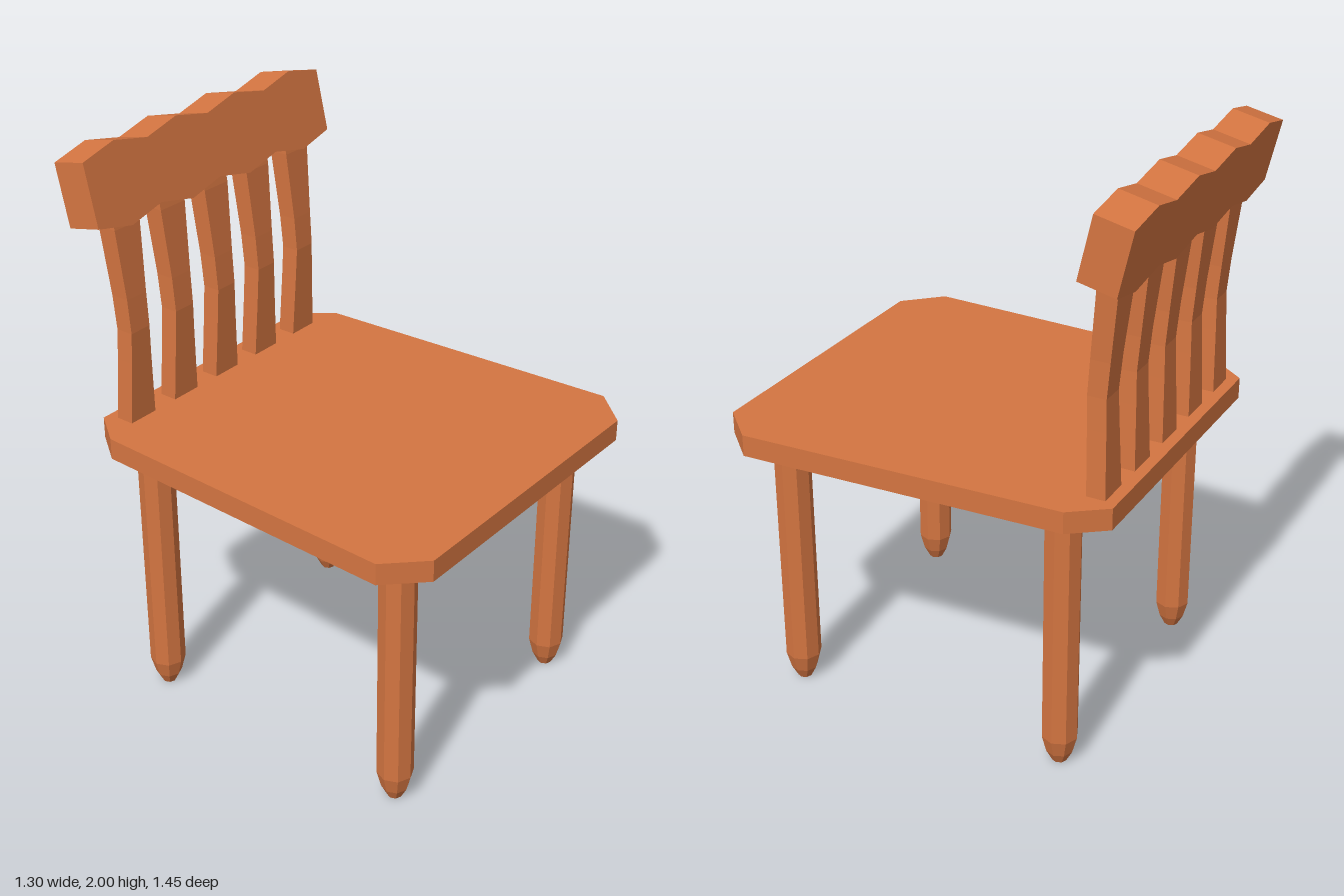
import * as THREE from 'three';

const wood = new THREE.MeshStandardMaterial({ color: 0xd47541, flatShading: true });

function part(name, geometry, parent) {
  const mesh = new THREE.Mesh(geometry, wood);
  mesh.name = name;
  parent.add(mesh);
  return mesh;
}

function slab(points, depth) {
  const shape = new THREE.Shape(points.map(([x, y]) => new THREE.Vector2(x, y)));
  return new THREE.ExtrudeGeometry(shape, { depth, bevelEnabled: false });
}

// Slat rings from bottom to top: height, half width, centre z, half thickness
const slatRings = [
  [1.0, 0.057, -0.579, 0.032],
  [1.03, 0.057, -0.579, 0.032],
  [1.25, 0.046, -0.571, 0.032],
  [1.36, 0.042, -0.567, 0.032],
  [1.48, 0.044, -0.576, 0.033],
  [1.72, 0.057, -0.599, 0.035],
  [1.79, 0.057, -0.611, 0.035],
];

// Waisted slat: a segmented box whose rings follow the table above
function slatGeometry() {
  const n = slatRings.length - 1;
  const geo = new THREE.BoxGeometry(2, n, 2, 1, n, 1);
  const p = geo.attributes.position;
  for (let i = 0; i < p.count; i++) {
    const [y, w, z, t] = slatRings[Math.round(p.getY(i) + n / 2)];
    p.setXYZ(i, p.getX(i) * w, y, z + p.getZ(i) * t);
  }
  geo.computeVertexNormals();
  return geo;
}

export function createModel() {
  const chair = new THREE.Group();
  chair.name = 'chair';

  // Tapered seat board with clipped corners
  const half = [[0.53, 0.725], [0.65, 0.6], [0.6, -0.53], [0.51, -0.65]];
  const outline = [...half, ...half.map(([x, z]) => [-x, z]).reverse()];
  const seat = part('seat', slab(outline, 0.075).rotateX(Math.PI / 2), chair);
  seat.position.y = 1.03;

  // Octagonal legs with rounded-off feet
  const legProfile = [[0, 0], [0.025, 0], [0.046, 0.04], [0.062, 0.1], [0.062, 0.97], [0, 0.97]]
    .map(([r, y]) => new THREE.Vector2(r, y));
  const legGeo = new THREE.LatheGeometry(legProfile, 8);
  for (const [end, z] of [['front', 0.55], ['back', -0.46]]) {
    for (const [side, x] of [['Left', 0.454], ['Right', -0.466]]) {
      part(end + side + 'Leg', legGeo, chair).position.set(x, 0, z);
    }
  }

  // Five back slats
  const slatGeo = slatGeometry();
  for (let i = -2; i <= 2; i++) part('backSlat', slatGeo, chair).position.x = i * 0.212;

  // Leaning top rail with scalloped upper and lower edges
  const top = [], bottom = [];
  for (let i = 0; i <= 8; i++) {
    const x = -0.57 + i * 0.1425;
    const v = i % 2 ? 0.138 : 0.107;
    top.push([x, v]);
    bottom.push([x, -v]);
  }
  const railGeo = slab([...bottom, ...top.reverse()], 0.13).translate(0, 0, -0.13);
  const rail = part('topRail', railGeo, chair);
  rail.rotation.x = -0.224;
  rail.position.set(0, 1.865, -0.566);

  return chair;
}
